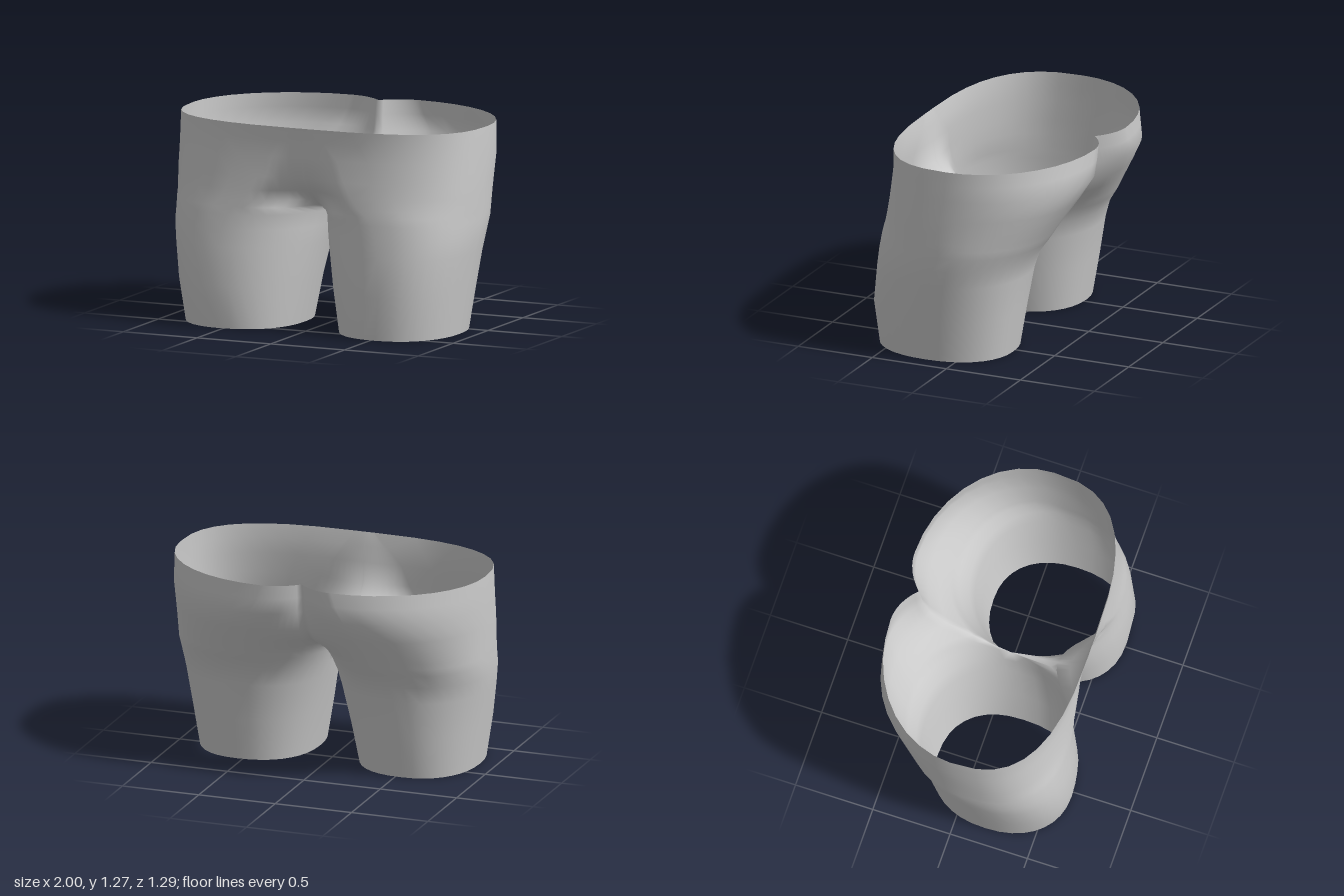
import * as THREE from 'three';
import { mergeVertices } from 'three/addons/utils/BufferGeometryUtils.js';

// Horizontal sections of one half, hem to waist:
// y, inner x, outer x, widest z, front x, front z, back x, back z, seam front z, seam back z
const SECTIONS = [
  [0.015, 0.15, 0.895, 0.19, 0.53, 0.628, 0.54, -0.237, 0.19, 0.19],
  [0.28, 0.095, 0.935, 0.17, 0.56, 0.648, 0.54, -0.282, 0.17, 0.17],
  [0.52, 0.042, 0.972, 0.13, 0.54, 0.622, 0.52, -0.322, 0.13, 0.13],
  [0.63, 0.018, 0.988, 0.1, 0.52, 0.609, 0.5, -0.355, 0.1, 0.1],
  [0.72, 0, 0.992, 0.06, 0.49, 0.598, 0.47, -0.415, 0.06, 0.06],
  [0.77, 0, 0.994, 0.06, 0.45, 0.593, 0.45, -0.445, 0.26, -0.1],
  [0.81, 0, 0.995, 0.06, 0.4, 0.588, 0.44, -0.468, 0.36, -0.19],
  [0.88, 0, 0.997, 0.06, 0.34, 0.581, 0.42, -0.51, 0.45, -0.36],
  [0.97, 0, 0.999, 0.05, 0.29, 0.572, 0.38, -0.565, 0.53, -0.46],
  [1.1, 0, 1, 0.02, 0.24, 0.562, 0.31, -0.642, 0.552, -0.51],
  [1.2, 0, 1, 0.01, 0.15, 0.564, 0.26, -0.645, 0.56, -0.525],
  [1.288, 0, 0.998, 0, 0.06, 0.58, 0.23, -0.645, 0.579, -0.54],
];
const CROTCH = 0.72;
const STEPS = 9;

// Rounded quarter from a front or back peak to the side; n sets its squareness
function quarterCurve(xs, zc, xp, zp, n) {
  return (t) => {
    const a = t * Math.PI / 2;
    return [xp + (xs - xp) * Math.pow(Math.sin(a), 2 / n), zc + (zp - zc) * Math.pow(Math.max(0, Math.cos(a)), 2 / n)];
  };
}

// Arc from a peak that meets the centre seam in a crease
function creaseCurve(zc, xp, zp, seam) {
  const end = Math.acos((seam - zc) / (zp - zc));
  return (t) => [xp * (1 - Math.sin(t * end) / Math.sin(end)), zc + (zp - zc) * Math.cos(t * end)];
}

// Soft hollow from a peak to the centre seam
function hollowCurve(xp, zp, seam) {
  return (t) => {
    const u = Math.sin(t * Math.PI / 2);
    return [xp * (1 - u), seam + (zp - seam) * (1 + Math.cos(u * Math.PI)) / 2];
  };
}

// Points from the inner seam round the front, outside and back to the seam
function section([y, xi, xo, zc, xf, zf, xb, zb, sf, sb]) {
  let front, back;
  if (y <= CROTCH) {
    const n = 2.35 - 0.5 * y;
    front = quarterCurve(xi, zc, xf, zf, n);
    back = quarterCurve(xi, zc, xb, zb, n);
  } else {
    front = y > 0.8 ? hollowCurve(xf, zf, sf) : creaseCurve(zc, xf, zf, sf);
    back = creaseCurve(zc, xb, zb, sb);
  }
  const quarters = [
    [front, true],
    [quarterCurve(xo, zc, xf, zf, 2.2 + 0.42 * y), false],
    [quarterCurve(xo, zc, xb, zb, 2.25 - 0.2 * y), true],
    [back, false],
  ];
  const points = [];
  quarters.forEach(([curve, reverse], q) => {
    for (let i = q ? 1 : 0; i <= STEPS; i++) {
      const t = i / STEPS;
      const [x, z] = curve(reverse ? 1 - t : t);
      points.push([x, y, z]);
    }
  });
  return points;
}

// Both halves are lofted, mirrored and welded along the centre seam
function shortsGeometry() {
  const positions = [];
  const indices = [];
  const rows = SECTIONS.map(section);
  const count = rows[0].length;
  for (const side of [1, -1]) {
    const base = positions.length / 3;
    rows.forEach((row) => row.forEach(([x, y, z]) => positions.push(side * x, y, z)));
    for (let r = 0; r < rows.length - 1; r++) {
      for (let c = 0; c < count - 1; c++) {
        const a = base + r * count + c;
        const b = a + 1;
        const d = a + count;
        const e = d + 1;
        if (side > 0) indices.push(a, b, e, a, e, d);
        else indices.push(a, e, b, a, d, e);
      }
    }
  }
  let geometry = new THREE.BufferGeometry();
  geometry.setAttribute('position', new THREE.Float32BufferAttribute(positions, 3));
  geometry.setIndex(indices);
  geometry = mergeVertices(geometry, 1e-4);
  geometry.computeVertexNormals();
  return geometry;
}

export function createModel() {
  const group = new THREE.Group();
  group.name = 'shorts';
  const cloth = new THREE.MeshStandardMaterial({ color: 0xcccccc, side: THREE.DoubleSide });
  cloth.name = 'grey cloth';
  const shell = new THREE.Mesh(shortsGeometry(), cloth);
  shell.name = 'clothShell';
  group.add(shell);
  return group;
}
